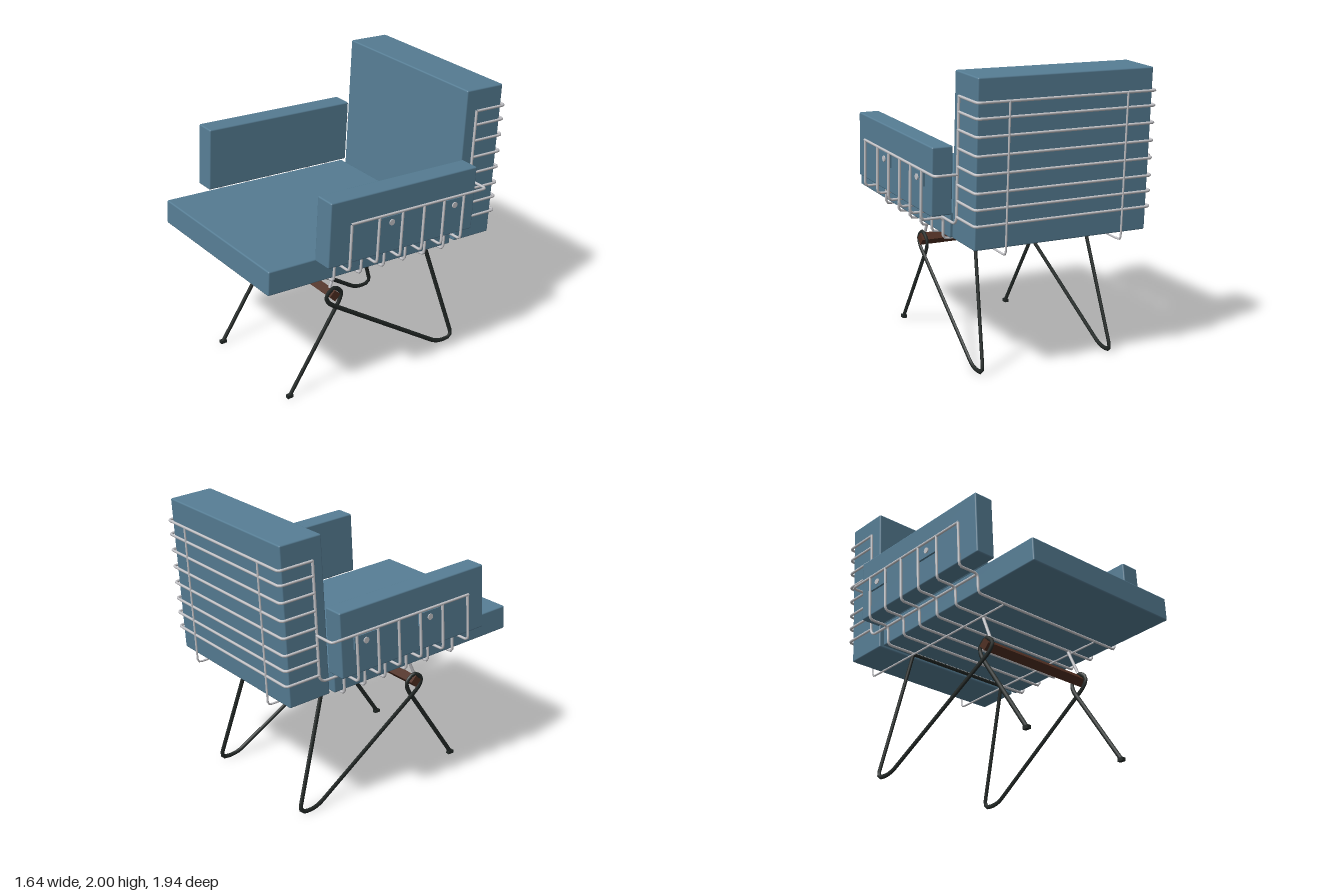
import * as THREE from 'three';
import { RoundedBoxGeometry } from 'three/addons/geometries/RoundedBoxGeometry.js';

const mat = (name, color) => Object.assign(new THREE.MeshStandardMaterial({ color }), { name });

// Polyline through the points with its corners rounded off
function roundedPath(points, radius) {
  const p = points.map(a => new THREE.Vector3(...a));
  const path = new THREE.CurvePath();
  let last = p[0];
  for (let i = 1; i < p.length - 1; i++) {
    const r = Math.min(radius, p[i].distanceTo(p[i - 1]) * 0.45, p[i].distanceTo(p[i + 1]) * 0.45);
    const toward = q => p[i].clone().add(q.clone().sub(p[i]).setLength(r));
    const a = toward(p[i - 1]), b = toward(p[i + 1]);
    path.add(new THREE.LineCurve3(last, a));
    path.add(new THREE.QuadraticBezierCurve3(a, p[i], b));
    last = b;
  }
  path.add(new THREE.LineCurve3(last, p[p.length - 1]));
  return path;
}

export function createModel() {
  const fabric = mat('blue fabric', 0x567d94);
  const chrome = mat('chrome wire', 0xc4c4c8);
  const black = mat('black steel', 0x222826);
  const wood = mat('brown wood', 0x4e2d20);

  const model = new THREE.Group();
  model.name = 'wireFrameArmchair';

  const add = (parent, name, geometry, material, x = 0, y = 0, z = 0) => {
    const mesh = new THREE.Mesh(geometry, material);
    mesh.name = name;
    mesh.position.set(x, y, z);
    parent.add(mesh);
    return mesh;
  };
  const rod = (parent, name, points, material, radius, bend = 0.03) =>
    add(parent, name, new THREE.TubeGeometry(roundedPath(points, bend), 110, radius, 7), material);
  // U-shaped rod mirrored across x = 0
  const mirrored = pts => [...pts, ...pts.slice().reverse().map(([x, y, z]) => [-x, y, z])];

  // Seat body leans back slightly
  const body = new THREE.Group();
  body.name = 'seatBody';
  body.position.y = 1;
  body.rotation.x = -0.058;
  model.add(body);

  // Cushions given by their limits
  const cushion = (name, x0, x1, y0, y1, z0, z1) =>
    add(body, name, new RoundedBoxGeometry(x1 - x0, y1 - y0, z1 - z0, 2, 0.01), fabric,
      (x0 + x1) / 2, (y0 + y1) / 2, (z0 + z1) / 2);
  cushion('seatCushion', -0.637, 0.637, -0.067, 0.104, -0.535, 0.967);
  cushion('backCushion', -0.637, 0.637, -0.058, 1.035, -0.885, -0.572);
  cushion('rightArmCushion', -0.79, -0.643, 0.1, 0.552, -0.578, 0.621);
  cushion('leftArmCushion', 0.643, 0.79, 0.1, 0.552, -0.578, 0.621);

  // Cradle wires running under the seat and up outside both arms
  const wire = 0.0095, xIn = 0.65, xOut = 0.81, zRail = -0.657;
  for (const z of [0.465, 0.245, 0.055, -0.125, -0.295, -0.465]) {
    rod(body, 'seatWire', mirrored([
      [xOut, 0.385, z], [xOut, 0.055, z], [xIn, 0.055, z], [xIn, -0.088, z],
    ]), chrome, wire);
  }

  // Wires wrapping around the back
  for (const y of [0.885, 0.786, 0.672, 0.553, 0.436, 0.318, 0.213, 0.107]) {
    rod(body, 'backWire', mirrored([[xIn, y, zRail], [xIn, y, -0.912]]), chrome, wire);
  }

  for (const s of [1, -1]) {
    // Side rail along the seat and up the back
    rod(body, 'sideRail', [
      [s * xIn, 0.055, 0.465], [s * xIn, 0.055, zRail], [s * xIn, 0.893, zRail],
    ], chrome, wire, 0.06);
    // Arm rail turning in to the back
    rod(body, 'armRail', [
      [s * xOut, 0.385, 0.473], [s * xOut, 0.385, -0.66], [s * xIn, 0.385, -0.66],
    ], chrome, wire);
    // Inner rail under the seat and up the rear
    rod(body, 'innerRail', [
      [s * 0.43, -0.1, 0.47], [s * 0.43, -0.1, -0.918], [s * 0.43, 0.89, -0.918],
    ], chrome, 0.007);

    // Arm fixing plates with screws
    for (const z of [0.14, -0.39]) {
      add(body, 'armPlate', new THREE.BoxGeometry(0.016, 0.088, 0.18), fabric, s * 0.797, 0.323, z);
      add(body, 'plateScrew', new THREE.CylinderGeometry(0.021, 0.021, 0.008, 14), chrome,
        s * 0.808, 0.323, z).rotation.z = Math.PI / 2;
    }

    // One bent bar: front leg, loop round the stretcher, floor runner, rear leg
    const flat = 0.65;
    const leg = rod(model, 'legFrame', [
      [0.432, 0.01, 0.685], [0.432, 0.625, 0.262], [0.435, 0.69, 0.243], [0.438, 0.752, 0.314],
      [0.44, 0.69, 0.388], [0.442, 0.627, 0.35], [0.495, 0.012, -0.58], [0.495, 0.012, -0.72],
      [0.42, 0.89, -0.46],
    ].map(([x, y, z]) => [s * x / flat, y, z]), black, 0.0165, 0.11);
    leg.scale.x = flat;
    add(model, 'foot', new THREE.BoxGeometry(0.028, 0.024, 0.045), black, s * 0.432, 0.012, 0.682);

    // Strut from the stretcher to the seat
    rod(model, 'frontStrut', [[s * 0.412, 0.735, 0.33], [s * 0.405, 0.92, 0.248]], chrome, 0.011);
  }

  // Cross bar joining the rear legs
  rod(model, 'rearCrossBar', [[-0.42, 0.88, -0.46], [0.42, 0.88, -0.46]], black, 0.013);

  // Square wooden stretcher set on edge
  add(model, 'woodStretcher', new THREE.BoxGeometry(0.915, 0.062, 0.062), wood, 0, 0.688, 0.316)
    .rotation.x = Math.PI / 4;

  return model;
}
